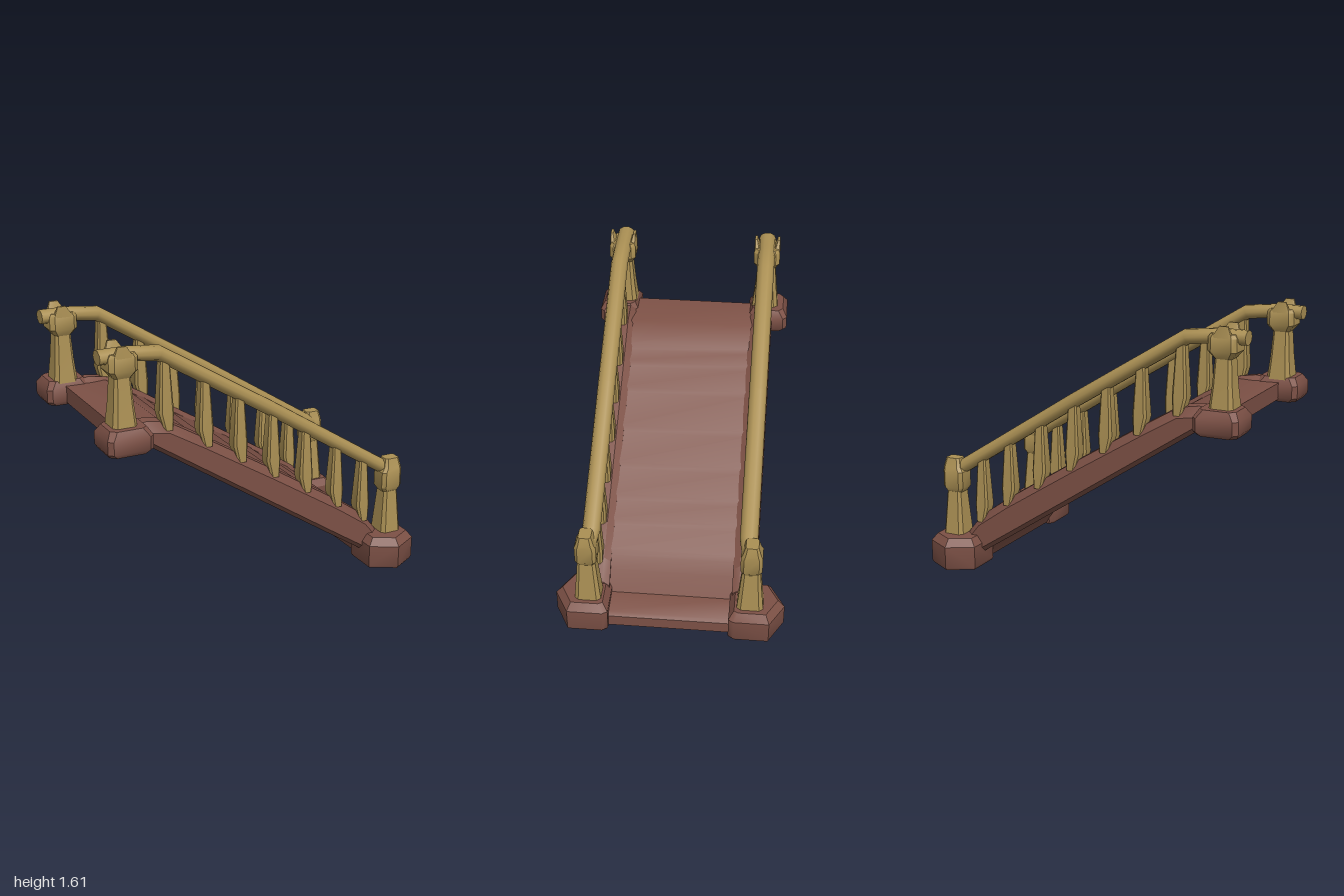
import * as THREE from 'three';
import { toCreasedNormals } from 'three/addons/utils/BufferGeometryUtils.js';

const wood = new THREE.MeshStandardMaterial({ color: 0x7d5146 });
wood.name = 'brown wood';
const gold = new THREE.MeshStandardMaterial({ color: 0xab9054 });
gold.name = 'golden wood';

// Skin a closed, capped solid over a list of rings with equal point counts
function loft(rings, crease = 0.6) {
  const n = rings[0].length;
  const tris = [];
  for (let r = 0; r < rings.length - 1; r++) {
    for (let i = 0; i < n; i++) {
      const j = (i + 1) % n;
      const [a, b, c, d] = [rings[r][i], rings[r][j], rings[r + 1][j], rings[r + 1][i]];
      tris.push([a, b, c], [a, c, d]);
    }
  }
  const last = rings[rings.length - 1];
  for (let i = 1; i < n - 1; i++) {
    tris.push([rings[0][0], rings[0][i + 1], rings[0][i]], [last[0], last[i], last[i + 1]]);
  }
  // Turn the faces outward whatever the ring direction
  const v = (p) => new THREE.Vector3(...p);
  const o = v(rings[0][0]);
  let volume = 0;
  for (const [a, b, c] of tris) volume += v(a).sub(o).dot(v(b).sub(o).cross(v(c).sub(o)));
  const pos = tris.flatMap(([a, b, c]) => (volume > 0 ? [a, b, c] : [a, c, b])).flat();
  const geo = new THREE.BufferGeometry();
  geo.setAttribute('position', new THREE.Float32BufferAttribute(pos, 3));
  return toCreasedNormals(geo, crease);
}

// Horizontal rectangle with cut corners
function ring(x, y, z, hx, hz, cut = 0.3) {
  const a = hx * (1 - cut), b = hz * (1 - cut);
  return [[a, hz], [hx, b], [hx, -b], [a, -hz], [-a, -hz], [-hx, -b], [-hx, b], [-a, hz]]
    .map(([dx, dz]) => [x + dx, y, z + dz]);
}

// Value at x along a list of [x, value] points
function along(points, x) {
  let k = 0;
  while (k < points.length - 2 && x > points[k + 1][0]) k++;
  const [x0, y0] = points[k], [x1, y1] = points[k + 1];
  return y0 + ((x - x0) / (x1 - x0)) * (y1 - y0);
}

const beamTop = [[-0.87, 1.13], [-0.72, 1.15], [-0.6, 1.13], [-0.38, 1.0], [0.05, 0.735],
  [0.5, 0.45], [0.7, 0.31], [0.79, 0.2]];
const beamBottom = [[-0.87, 1.04], [-0.73, 1.02], [0.69, 0.08], [0.79, 0.03]];
const railLine = [[-0.99, 1.545], [-0.82, 1.545], [-0.64, 1.525], [0.05, 1.1], [0.8, 0.62], [0.91, 0.56]];

export function createModel() {
  const model = new THREE.Group();
  const add = (parent, name, geo, mat) => {
    const mesh = new THREE.Mesh(geo, mat);
    mesh.name = name;
    parent.add(mesh);
    return mesh;
  };

  // Deck: a sloping run of shallow worn treads with a flat landing at each end
  const profile = [[-0.88, 1.03], [-0.88, 1.13], [-0.62, 1.125]];
  for (const x of [-0.47, -0.37, -0.22, 0, 0.2, 0.37, 0.5, 0.65]) {
    const y = along(beamTop, x);
    profile.push([x - 0.012, y - 0.012], [x + 0.012, y - 0.038]);
  }
  profile.push([0.71, 0.24], [0.78, 0.12], [0.92, 0.1], [0.94, 0.08], [0.94, 0.01], [0.72, 0.01],
    [0.66, 0.12], [-0.72, 1.035]);
  const deck = new THREE.ExtrudeGeometry(
    new THREE.Shape(profile.map(([x, y]) => new THREE.Vector2(x, y))),
    { depth: 0.76, bevelEnabled: false });
  deck.translate(0, 0, -0.38);
  add(model, 'deck', toCreasedNormals(deck, 0.7), wood);

  for (const s of [1, -1]) {
    const side = new THREE.Group();
    side.name = s > 0 ? 'leftSide' : 'rightSide';
    model.add(side);

    // Side beam
    add(side, 'sideBeam', loft(beamTop.map(([x, t]) => {
      const b = along(beamBottom, x);
      return [[0.36, t - 0.025], [0.4, t + 0.005], [0.46, t], [0.5, t - 0.055],
        [0.5, b + 0.03], [0.47, b], [0.37, b]].map(([z, y]) => [x, y, s * z]);
    })), wood);

    // Lower foot block, pointed outward
    const foot = (y, k) => [[0.7, 0.35], [0.68, 0.38], [0.68, 0.585], [0.835, 0.67], [0.99, 0.585],
      [0.99, 0.38], [0.97, 0.35]]
      .map(([x, z]) => [0.835 + (x - 0.835) * k, y, s * (0.49 + (z - 0.49) * k)]);
    add(side, 'lowerBlock', loft([foot(0, 0.95), foot(0.015, 1), foot(0.145, 1), foot(0.19, 0.78)]), wood);

    // Upper block
    const ux = -0.86, uz = s * 0.472;
    add(side, 'upperBlock', loft([
      ring(ux, 1.015, uz, 0.115, 0.105), ring(ux, 1.04, uz, 0.132, 0.122, 0.2),
      ring(ux, 1.115, uz, 0.132, 0.122, 0.2), ring(ux, 1.16, uz, 0.105, 0.095)]), wood);

    // Lower post with a faceted head
    const lx = 0.865, lz = s * 0.47;
    add(side, 'lowerPost', loft([
      ring(lx, 0.17, lz, 0.068, 0.078), ring(lx, 0.32, lz, 0.057, 0.064),
      ring(lx, 0.455, lz, 0.047, 0.052)]), gold);
    add(side, 'lowerPostHead', loft([
      ring(lx, 0.445, lz, 0.045, 0.045), ring(lx, 0.48, lz, 0.068, 0.062),
      ring(lx, 0.58, lz, 0.068, 0.062), ring(lx + 0.01, 0.605, lz, 0.058, 0.052),
      ring(lx + 0.01, 0.66, lz, 0.045, 0.036)]), gold);

    // Upper post with a saddle head and two horns holding the rail
    const px = -0.865, pz = s * 0.45;
    add(side, 'upperPost', loft([
      ring(px, 1.14, pz, 0.073, 0.082), ring(px, 1.28, pz, 0.058, 0.067),
      ring(px, 1.44, pz, 0.047, 0.055)]), gold);
    add(side, 'upperPostHead', loft([
      ring(px, 1.43, pz, 0.05, 0.058), ring(px, 1.47, pz, 0.083, 0.08),
      ring(px, 1.545, pz, 0.083, 0.08), ring(px, 1.565, pz, 0.07, 0.07)]), gold);
    for (const h of [1, -1]) {
      add(side, 'headHorn', loft([
        ring(px, 1.54, pz + h * 0.06, 0.06, 0.02),
        ring(px - 0.012, 1.61, pz + h * 0.07, 0.025, 0.008)]), gold);
    }

    // Handrail: an oval section swept along the rail line, turning out at the foot
    add(side, 'handrail', loft(railLine.map(([x, y], i) => {
      const z = s * (i === railLine.length - 1 ? 0.47 : 0.447);
      return Array.from({ length: 10 }, (_, k) => {
        const a = (k / 10) * Math.PI * 2;
        const lean = i > 1 ? 0.016 * Math.sin(a) : 0;
        return [x + lean, y + 0.041 * Math.sin(a), z + 0.052 * Math.cos(a)];
      });
    }), 0.8), gold);

    // Balusters, widest just above the pointed foot
    for (const x of [-0.61, -0.37, -0.155, 0.06, 0.28, 0.495, 0.685]) {
      const low = along(beamTop, x), high = along(railLine, x), z = s * 0.45;
      add(side, 'baluster', loft([
        ring(x + 0.012, low - 0.045, z, 0.026, 0.042), ring(x, low + 0.06, z, 0.044, 0.045),
        ring(x, high - 0.01, z, 0.026, 0.03)], 0.4), gold);
    }
  }
  return model;
}
